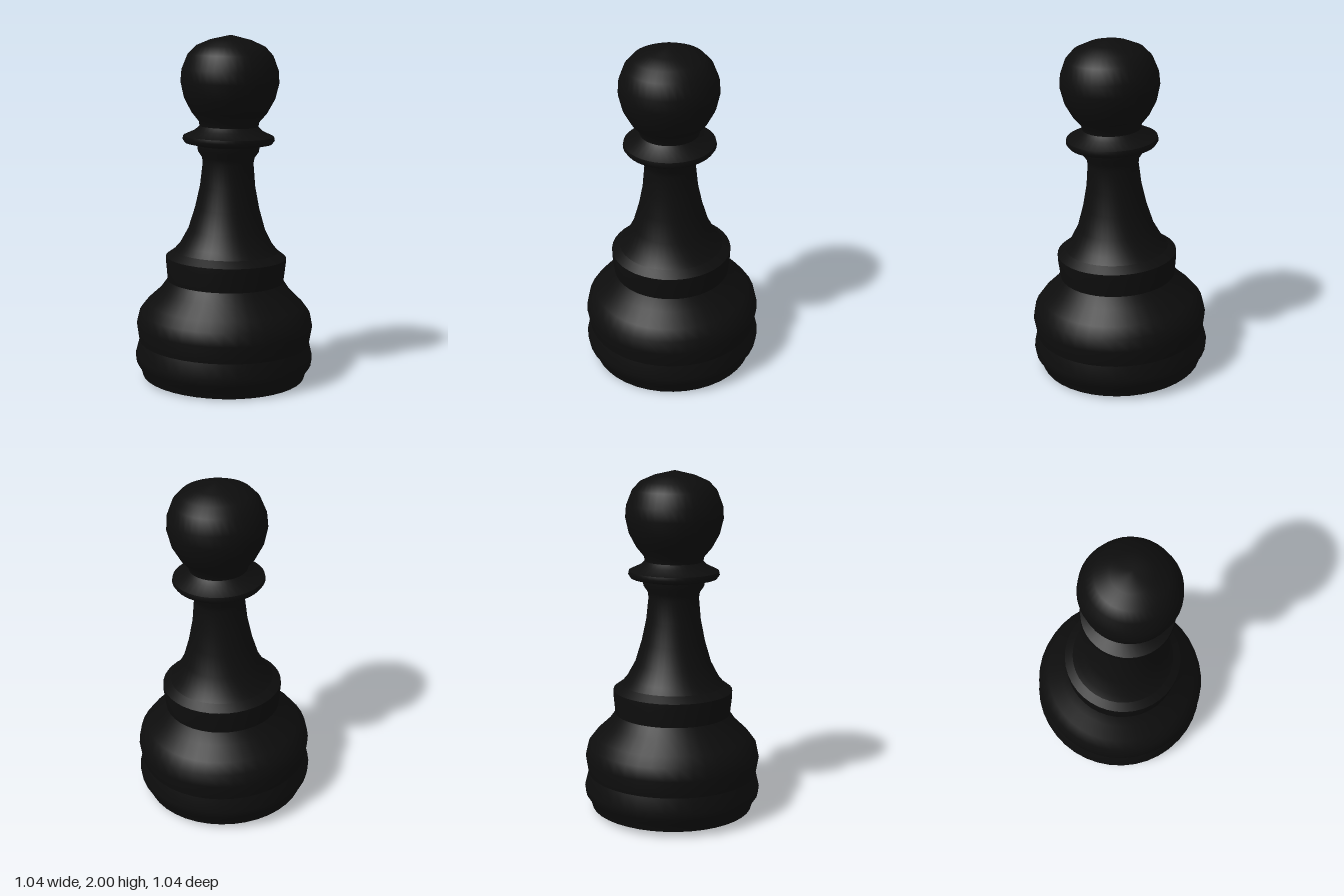
import * as THREE from 'three';
import { toCreasedNormals } from 'three/addons/utils/BufferGeometryUtils.js';

const SIDES = 40;

// Turned profiles as [radius, height], each running from bottom to top
const PROFILES = {
  base: [[0, 0], [0.475, 0], [0.487, 0.042], [0.513, 0.08], [0.519, 0.122], [0.498, 0.207]],
  belly: [[0.498, 0.207], [0.514, 0.307], [0.498, 0.38], [0.455, 0.436], [0.382, 0.505], [0.338, 0.567]],
  shoulderRing: [[0.338, 0.567], [0.349, 0.672], [0.349, 0.707], [0.302, 0.742]],
  stem: [[0.302, 0.742], [0.27, 0.78], [0.222, 0.87], [0.185, 0.995], [0.159, 1.122], [0.146, 1.255],
    [0.151, 1.287], [0.175, 1.322], [0.18, 1.355]],
  collar: [[0.18, 1.355], [0.25, 1.37], [0.264, 1.39], [0.26, 1.41], [0.196, 1.44], [0.168, 1.466]],
  head: [[0.168, 1.466], [0.173, 1.492], [0.217, 1.545], [0.26, 1.625], [0.281, 1.715], [0.276, 1.785],
    [0.243, 1.87], [0.196, 1.92], [0.116, 1.955], [0, 1.982]],
};

export function createModel() {
  const model = new THREE.Group();
  model.name = 'pawn';
  const ebony = new THREE.MeshStandardMaterial({ color: 0x0d0d0d });
  ebony.name = 'ebony black';

  // The whole piece leans slightly forward
  const piece = new THREE.Group();
  piece.name = 'leaningPiece';
  piece.rotation.x = 0.037;
  piece.position.set(0, 0.018, -0.008);
  model.add(piece);

  for (const [name, profile] of Object.entries(PROFILES)) {
    const points = profile.map(([r, y]) => new THREE.Vector2(r, y));
    const geometry = toCreasedNormals(new THREE.LatheGeometry(points, SIDES), 0.9);
    const mesh = new THREE.Mesh(geometry, ebony);
    mesh.name = name;
    piece.add(mesh);
  }
  return model;
}
